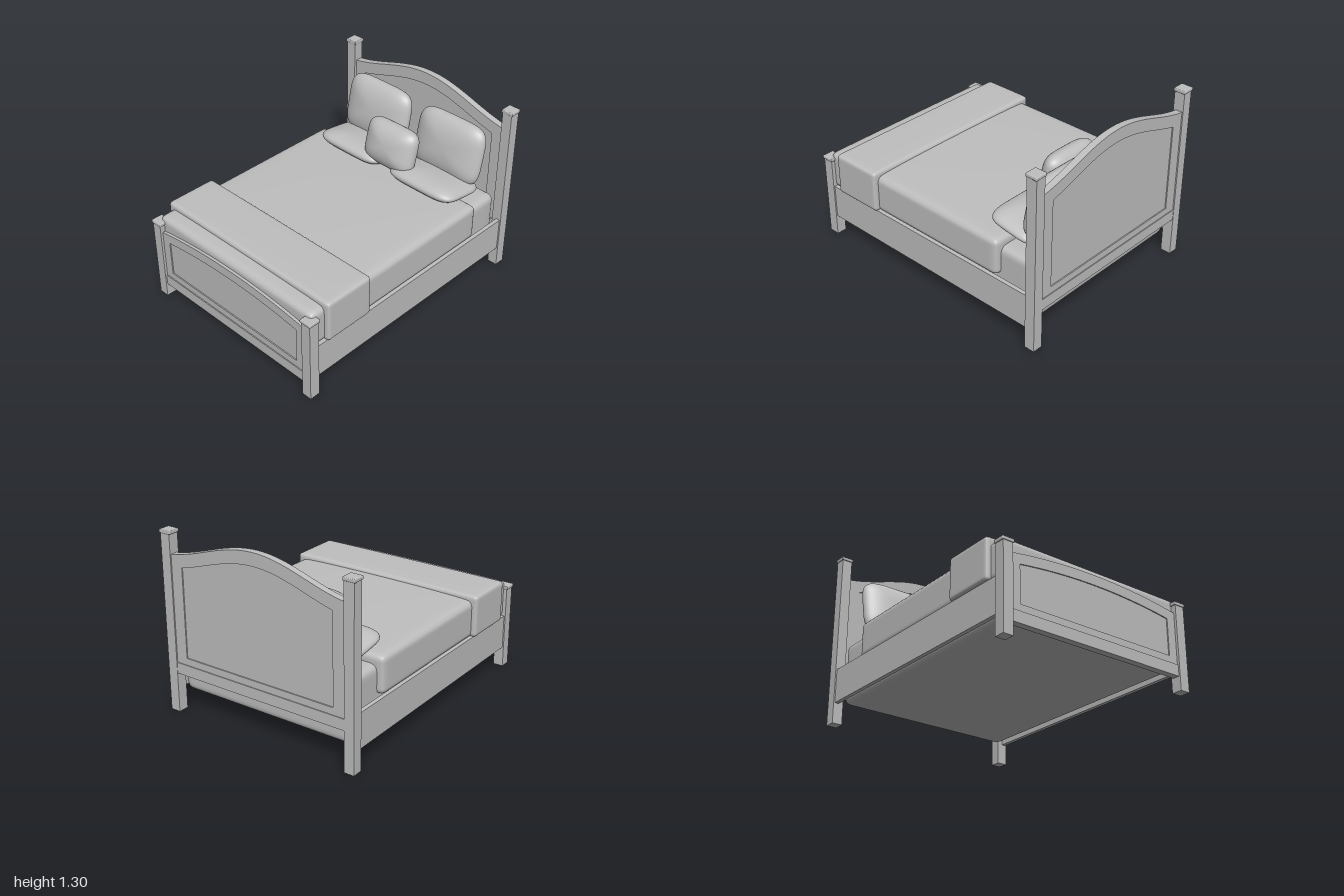
import * as THREE from 'three';
import { mergeVertices } from 'three/addons/utils/BufferGeometryUtils.js';
import { RoundedBoxGeometry } from 'three/addons/geometries/RoundedBoxGeometry.js';

const grey = new THREE.MeshStandardMaterial({ color: 0xbfbfbf });
grey.name = 'plain grey';

function add(parent, name, geometry, x = 0, y = 0, z = 0) {
  const mesh = new THREE.Mesh(geometry, grey);
  mesh.name = name;
  mesh.position.set(x, y, z);
  parent.add(mesh);
  return mesh;
}

// Weld a geometry and give it smooth normals
function smooth(geometry) {
  geometry.deleteAttribute('uv');
  geometry.deleteAttribute('normal');
  const welded = mergeVertices(geometry, 1e-5);
  welded.computeVertexNormals();
  return welded;
}

// Rounded block with an optional domed top
function softBox(w, h, d, r, dome = 0) {
  const g = new THREE.BoxGeometry(1, 1, 1, 24, 24, 24);
  const p = g.attributes.position;
  const half = new THREE.Vector3(w / 2, h / 2, d / 2);
  const inner = half.clone().subScalar(r);
  const v = new THREE.Vector3();
  const core = new THREE.Vector3();
  for (let i = 0; i < p.count; i++) {
    v.fromBufferAttribute(p, i);
    const a = Math.cos(Math.PI * v.x) * Math.cos(Math.PI * v.z);
    const lift = v.y > 0.49 ? dome * Math.max(0, a) : 0;
    v.set(Math.sin(Math.PI * v.x), Math.sin(Math.PI * v.y), Math.sin(Math.PI * v.z)).multiply(half);
    core.copy(v).clamp(inner.clone().negate(), inner);
    v.sub(core).setLength(r).add(core);
    p.setXYZ(i, v.x, v.y + lift, v.z);
  }
  return smooth(g);
}

// Plump pillow: squarish outline, rounded thickness along z
function pillow(w, h, t) {
  const g = new THREE.SphereGeometry(1, 48, 32).rotateX(Math.PI / 2);
  const p = g.attributes.position;
  const square = (c) => Math.sign(c) * Math.pow(Math.abs(c), 0.42);
  for (let i = 0; i < p.count; i++) {
    const x = p.getX(i), y = p.getY(i), z = p.getZ(i);
    const s = Math.hypot(x, y);
    if (s < 1e-6) { p.setXYZ(i, 0, 0, z * t / 2); continue; }
    const r = Math.pow(s, 0.88);
    p.setXYZ(i, square(x / s) * r * w / 2, square(y / s) * r * h / 2, z * t / 2);
  }
  return smooth(g);
}

// Outline with an arched top edge
function archPoints(halfWidth, bottom, arch) {
  const pts = [new THREE.Vector2(-halfWidth, bottom), new THREE.Vector2(halfWidth, bottom)];
  for (let i = 0; i <= 40; i++) {
    const x = halfWidth * (1 - i / 20);
    pts.push(new THREE.Vector2(x, arch(x)));
  }
  return pts;
}

// Arched board: open frame with a slightly thinner panel in the hole
function board(parent, name, o) {
  const g = new THREE.Group();
  g.name = name;
  const frame = new THREE.Shape(archPoints(o.half, o.bottom, o.arch));
  const opening = archPoints(o.panelHalf, o.panelBottom, (x) => o.arch(x) - o.border);
  frame.holes.push(new THREE.Path(opening));
  const extrude = (s, depth) => new THREE.ExtrudeGeometry(s, { depth, bevelEnabled: false });
  add(g, name + 'Frame', extrude(frame, o.depth), 0, 0, o.z);
  add(g, name + 'Panel', extrude(new THREE.Shape(opening), o.depth - 0.016), 0, 0, o.z + 0.008);
  parent.add(g);
}

export function createModel() {
  const bed = new THREE.Group();
  bed.name = 'bed';

  // Corner posts with caps, and side rails
  for (const side of [-1, 1]) {
    for (const [name, z, top] of [['headPost', -0.955, 1.275], ['footPost', 0.955, 0.61]]) {
      const post = new THREE.Group();
      post.name = name;
      post.position.set(side * 0.725, 0, z);
      add(post, name + 'Shaft', new THREE.BoxGeometry(0.075, top, 0.078), 0, top / 2);
      add(post, name + 'Cap', new RoundedBoxGeometry(0.092, 0.025, 0.09, 2, 0.006), 0, top + 0.0105);
      bed.add(post);
    }
    add(bed, 'sideRail', new THREE.BoxGeometry(0.03, 0.25, 1.84), side * 0.738, 0.275, 0);
  }

  // Headboard and footboard
  const bump = (x, half) => 0.5 + 0.5 * Math.cos(Math.PI * x / half);
  board(bed, 'headboard', {
    half: 0.688, bottom: 0.29, panelHalf: 0.6, panelBottom: 0.42, border: 0.092, depth: 0.05, z: -0.985,
    arch: (x) => 1.13 + 0.165 * bump(x, 0.8),
  });
  add(bed, 'headboardBaseRail', new THREE.BoxGeometry(1.376, 0.08, 0.062), 0, 0.33, -0.96);
  board(bed, 'footboard', {
    half: 0.688, bottom: 0.1, panelHalf: 0.62, panelBottom: 0.23, border: 0.07, depth: 0.036, z: 0.94,
    arch: (x) => 0.61 - 0.12 * x * x,
  });
  add(bed, 'footboardBaseRail', new THREE.BoxGeometry(1.376, 0.08, 0.05), 0, 0.14, 0.958);

  // Mattress, blanket and folded throw
  add(bed, 'mattress', softBox(1.38, 0.455, 1.83, 0.05), 0, 0.373, -0.005);
  add(bed, 'blanket', softBox(1.475, 0.27, 1.6, 0.04, 0.02), 0, 0.527, 0.155);
  add(bed, 'throw', softBox(1.545, 0.305, 0.39, 0.025, 0.005), 0, 0.55, 0.648);

  // Pillows: two lying, two leaning, one small cushion in front
  for (const side of [-1, 1]) {
    const flat = add(bed, 'lyingPillow', pillow(0.585, 0.4, 0.14), side * 0.338, 0.693, -0.648);
    flat.rotation.x = -Math.PI / 2 - 0.15;
    const leaning = add(bed, 'leaningPillow', pillow(0.58, 0.455, 0.19), side * 0.338, 0.9, -0.812);
    leaning.rotation.x = -0.2;
  }
  const cushion = add(bed, 'smallCushion', pillow(0.445, 0.335, 0.2), 0, 0.855, -0.58);
  cushion.rotation.x = -0.25;

  return bed;
}
